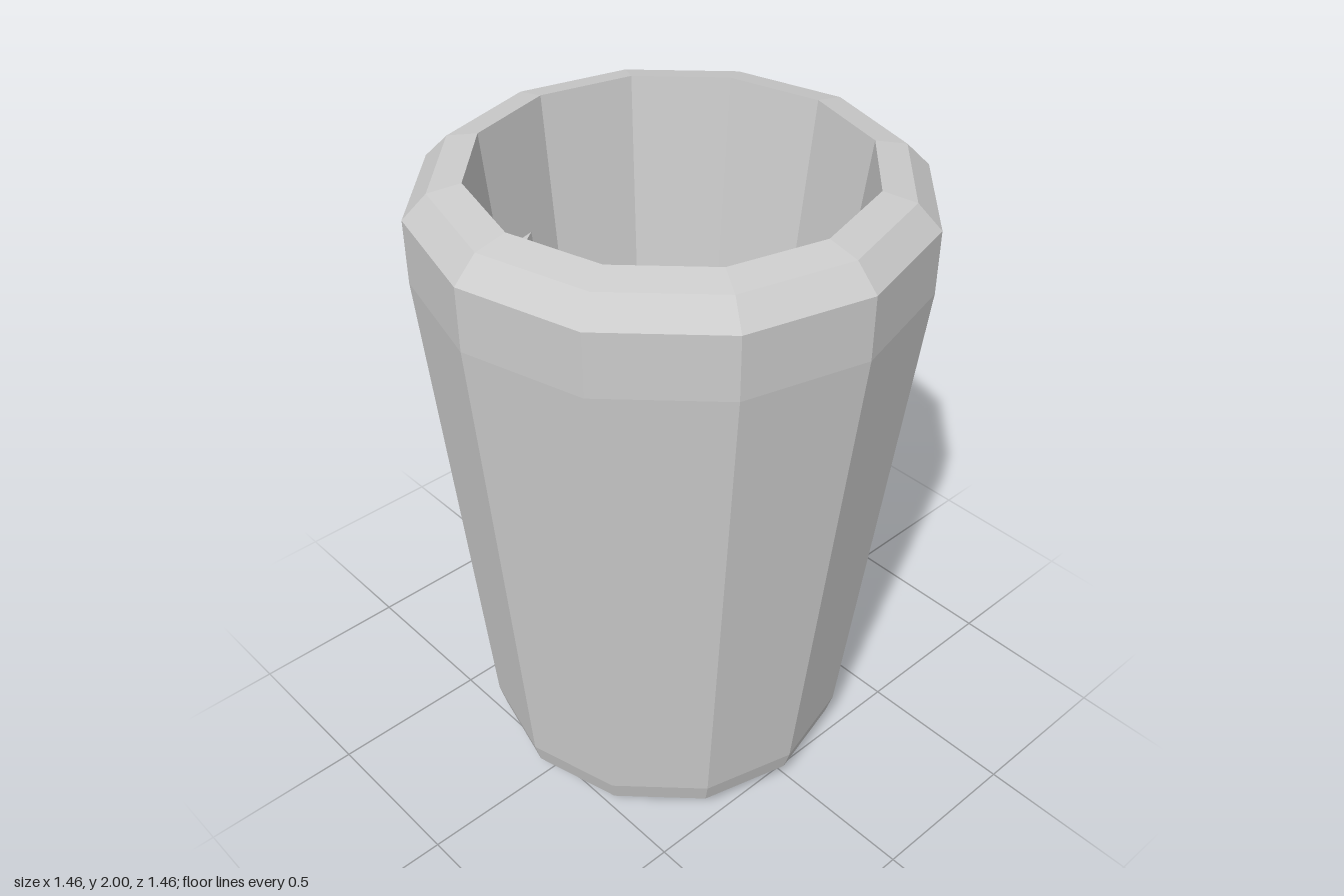
import * as THREE from 'three';

const SIDES = 12;

// Lean the body slightly: the base sits a little off the centre of the rim
function lean(geometry) {
  const p = geometry.attributes.position;
  for (let i = 0; i < p.count; i++) {
    const k = 1 - Math.min(p.getY(i) / 1.72, 1);
    p.setX(i, p.getX(i) - 0.025 * k);
    p.setZ(i, p.getZ(i) - 0.005 * k);
  }
  geometry.computeVertexNormals();
  return geometry;
}

export function createModel() {
  const group = new THREE.Group();
  group.name = 'cup';

  // Faceted cup: recessed underside, outer wall, bevelled rim, inner wall, floor
  const profile = [
    [0, 0.08], [0.31, 0.08], [0.37, 0.02], [0.44, 0], [0.5, 0.02], [0.555, 0.07], [0.575, 0.14],
    [0.73, 1.72], [0.73, 1.91], [0.66, 1.98], [0.565, 2],
    [0.355, 0.14], [0.305, 0.1], [0, 0.1],
  ].map(([r, y]) => new THREE.Vector2(r, y));
  const cup = new THREE.Mesh(
    lean(new THREE.LatheGeometry(profile, SIDES)),
    new THREE.MeshStandardMaterial({ color: 0xcccccc, flatShading: true })
  );
  cup.name = 'cupBody';
  group.add(cup);

  // Small ledge bulging from the back of the inner wall, tapering to the floor
  const ledge = new THREE.BufferGeometry();
  ledge.setAttribute('position', new THREE.Float32BufferAttribute([
    -0.4, 1.63, -0.31, // 0 left tip
    -0.235, 1.63, -0.41, // 1 front corner
    -0.12, 1.63, -0.49, // 2 right tip
    -0.265, 1.63, -0.455, // 3 wall corner
    -0.332, 0.14, -0.182, 0 - 0.202, 0.14, -0.312, -0.025, 0.14, -0.36, // 4-6 foot
  ], 3));
  ledge.setIndex([0, 1, 3, 1, 2, 3, 0, 4, 1, 4, 5, 1, 5, 6, 1, 6, 2, 1]);
  ledge.computeVertexNormals();
  const bulge = new THREE.Mesh(
    ledge,
    new THREE.MeshStandardMaterial({ color: 0xcccccc, flatShading: true, side: THREE.DoubleSide })
  );
  bulge.name = 'innerLedge';
  group.add(bulge);

  return group;
}
